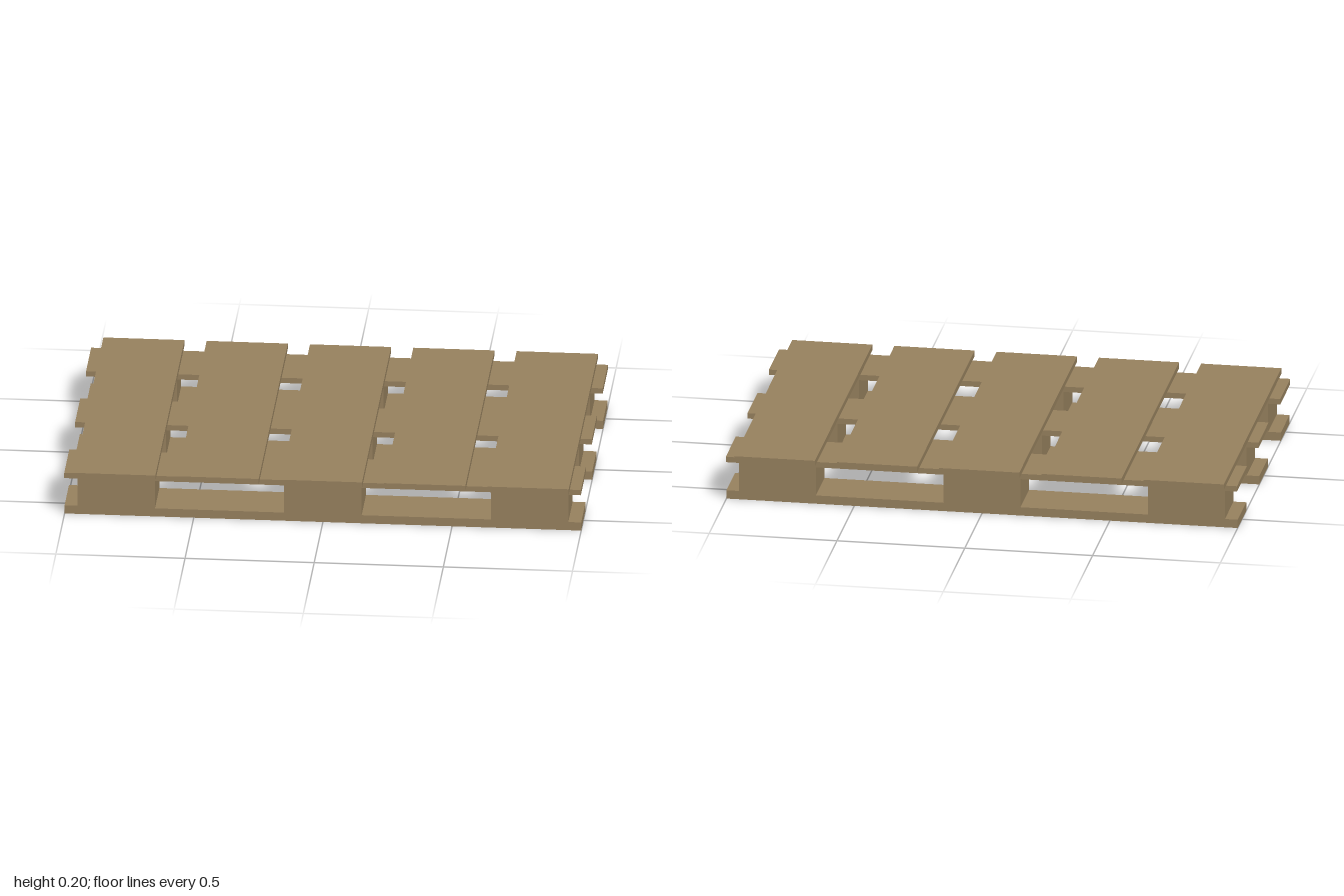
import * as THREE from 'three';

export function createModel() {
  const group = new THREE.Group();
  const wood = new THREE.MeshStandardMaterial({ color: 0x98825f });

  // Box plank given its size, centre x/z and bottom height
  function plank(name, w, h, d, x, y, z) {
    const mesh = new THREE.Mesh(new THREE.BoxGeometry(w, h, d), wood);
    mesh.name = name;
    mesh.position.set(x, y + h / 2, z);
    group.add(mesh);
  }

  // Three runners: bottom board, spacer blocks and upper stringer
  for (const z of [-0.5, 0, 0.5]) {
    plank('bottomBoard', 2, 0.034, 0.2, 0, 0, z);
    for (const x of [-0.8, 0, 0.8]) plank('spacerBlock', 0.3, 0.121, 0.2, x, 0.034, z);
    plank('stringerBoard', 2, 0.022, 0.232, 0, 0.155, z);
  }

  // Five deck boards across the top
  for (let i = -2; i <= 2; i++) plank('deckBoard', 0.314, 0.023, 1.333, i * 0.4, 0.177, 0);

  return group;
}
